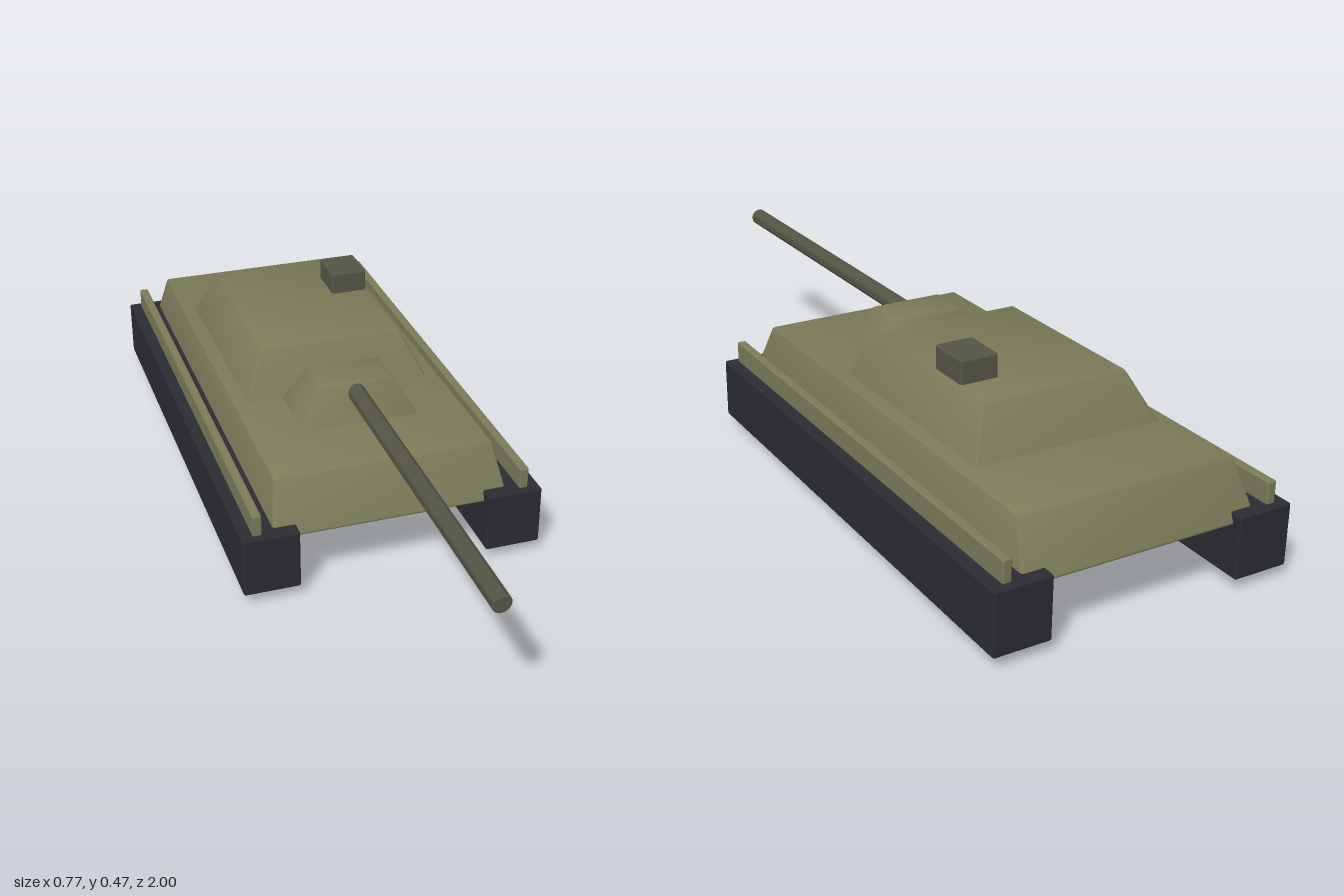
import * as THREE from 'three';
import { toCreasedNormals } from 'three/addons/utils/BufferGeometryUtils.js';
import { RoundedBoxGeometry } from 'three/addons/geometries/RoundedBoxGeometry.js';

const material = (name, color) => {
  const m = new THREE.MeshStandardMaterial({ color });
  m.name = name;
  return m;
};

export function createModel() {
  const olive = material('olive armour', 0x7b7b5a);
  const darkOlive = material('dark olive', 0x555546);
  const trackGrey = material('track grey', 0x2b2b33);
  const wheelBlack = material('wheel black', 0x19191e);

  const model = new THREE.Group();
  model.name = 'tank';

  const add = (name, geometry, mat, x = 0, y = 0, z = 0) => {
    const mesh = new THREE.Mesh(geometry, mat);
    mesh.name = name;
    mesh.position.set(x, y, z);
    model.add(mesh);
    return mesh;
  };

  // Softly bevelled box given by its limits on each axis
  const block = (name, mat, [x0, x1], [y0, y1], [z0, z1], r = 0.006) =>
    add(name, new RoundedBoxGeometry(x1 - x0, y1 - y0, z1 - z0, 2, r), mat,
      (x0 + x1) / 2, (y0 + y1) / 2, (z0 + z1) / 2);

  // Bevelled box whose width and length shrink towards the top
  const taperedBlock = (name, mat, [w0, w1], [y0, y1], [l0, l1], z, r = 0.008) => {
    const h = y1 - y0;
    const geometry = new RoundedBoxGeometry(w0, h, l0, 2, r);
    const p = geometry.attributes.position;
    for (let i = 0; i < p.count; i++) {
      const t = p.getY(i) / h + 0.5;
      p.setX(i, p.getX(i) * (1 + t * (w1 / w0 - 1)));
      p.setZ(i, p.getZ(i) * (1 + t * (l1 / l0 - 1)));
    }
    geometry.computeVertexNormals();
    add(name, toCreasedNormals(geometry, 0.6), mat, 0, (y0 + y1) / 2, z);
  };

  // Hull, turret and gun mantlet
  taperedBlock('hull', olive, [0.612, 0.562], [0.157, 0.293], [1.326, 1.2], -0.317);
  taperedBlock('turret', olive, [0.5, 0.382], [0.284, 0.411], [0.614, 0.474], -0.395);
  taperedBlock('mantlet', olive, [0.318, 0.192], [0.284, 0.39], [0.2, 0.114], 0, 0.005);

  // Gun barrel with a slightly eased muzzle
  const barrelProfile = [[0, 0], [0.023, 0], [0.023, 0.996], [0.019, 1], [0, 1]]
    .map(([r, l]) => new THREE.Vector2(r, l));
  const barrel = toCreasedNormals(new THREE.LatheGeometry(barrelProfile, 24), 0.6);
  add('barrel', barrel.rotateX(Math.PI / 2), darkOlive, 0, 0.363, 0);

  // Commander's hatch box
  block('hatch', darkOlive, [0.088, 0.186], [0.405, 0.47], [-0.532, -0.416]);

  // Tracks, side rails and road wheels, mirrored
  const wheel = new THREE.CylinderGeometry(0.07, 0.07, 0.067, 12);
  wheel.rotateY(Math.PI / 12).rotateZ(Math.PI / 2);
  const wheelGeometry = toCreasedNormals(wheel, 0.4);
  for (const [side, s] of [['left', 1], ['right', -1]]) {
    const span = (a, b) => (s > 0 ? [a, b] : [-b, -a]);
    block(side + 'Track', trackGrey, span(0.242, 0.386), [0.028, 0.185], [-1, 0.37]);
    block(side + 'Rail', olive, span(0.332, 0.355), [0.17, 0.239], [-0.98, 0.352], 0.004);
    for (let i = 0; i < 7; i++) {
      add(side + 'Wheel' + (i + 1), wheelGeometry, wheelBlack, s * 0.315, 0.0676, 0.241 - i * 0.185);
    }
  }
  return model;
}
